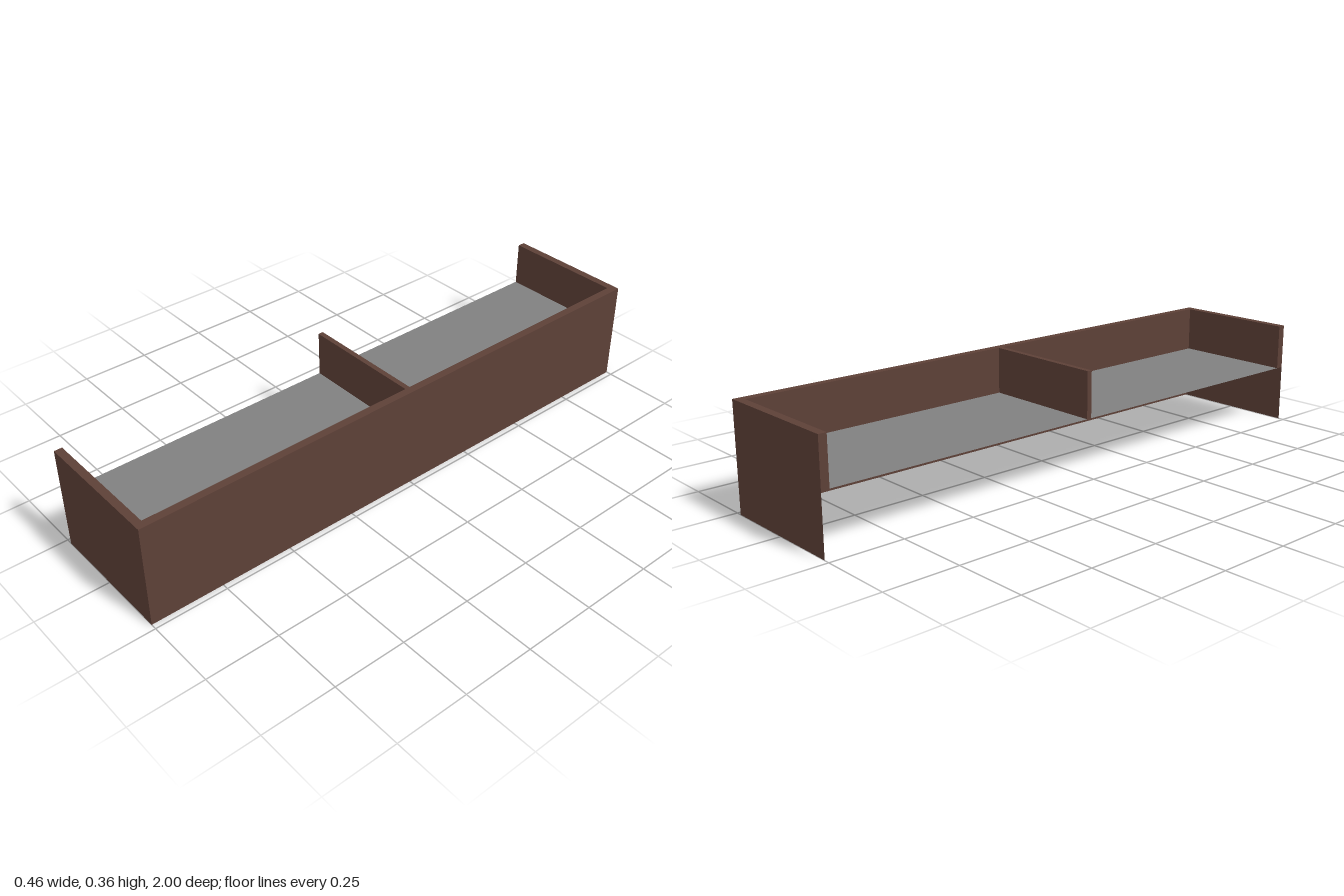
import * as THREE from 'three';

export function createModel() {
  const model = new THREE.Group();
  const wood = new THREE.MeshStandardMaterial({ color: 0x5d4037, side: THREE.DoubleSide });
  wood.name = 'dark brown wood';
  const grey = new THREE.MeshStandardMaterial({ color: 0x808080, side: THREE.DoubleSide });
  grey.name = 'grey panel';

  const X = 0.23, Z = 1, H = 0.358;   // outer half width, half length, height
  const shelfY = 0.2, wall = 0.027;   // shelf level, wall thickness above it
  const innerX = X - wall, innerZ = Z - wall;

  const add = (name, geometry, material, x, y, z) => {
    const mesh = new THREE.Mesh(geometry, material);
    mesh.name = name;
    mesh.position.set(x, y, z);
    model.add(mesh);
    return mesh;
  };
  // box given by its minimum and maximum on each axis
  const box = (name, x0, x1, y0, y1, z0, z1) =>
    add(name, new THREE.BoxGeometry(x1 - x0, y1 - y0, z1 - z0), wood,
      (x0 + x1) / 2, (y0 + y1) / 2, (z0 + z1) / 2);

  // thick walls above the shelf
  box('sideWall', innerX, X, shelfY, H, -Z, Z);
  box('frontWall', -X, innerX, shelfY, H, innerZ, Z);
  box('backWall', -X, innerX, shelfY, H, -Z, -innerZ);
  const d0 = -0.013, d1 = 0.005;
  box('divider', -X, innerX, shelfY, H, d0, d1);

  // thin skirts below the shelf
  add('sideSkirt', new THREE.PlaneGeometry(2 * Z, shelfY), wood, X, shelfY / 2, 0).rotation.y = Math.PI / 2;
  add('frontSkirt', new THREE.PlaneGeometry(2 * X, shelfY), wood, 0, shelfY / 2, Z);
  add('backSkirt', new THREE.PlaneGeometry(2 * X, shelfY), wood, 0, shelfY / 2, -Z).rotation.y = Math.PI;

  // two shelf panels either side of the divider
  for (const [name, z0, z1] of [['frontShelf', d1, innerZ], ['backShelf', -innerZ, d0]]) {
    const panel = new THREE.PlaneGeometry(X + innerX, z1 - z0);
    add(name, panel, grey, (innerX - X) / 2, shelfY, (z0 + z1) / 2).rotation.x = -Math.PI / 2;
  }
  return model;
}
